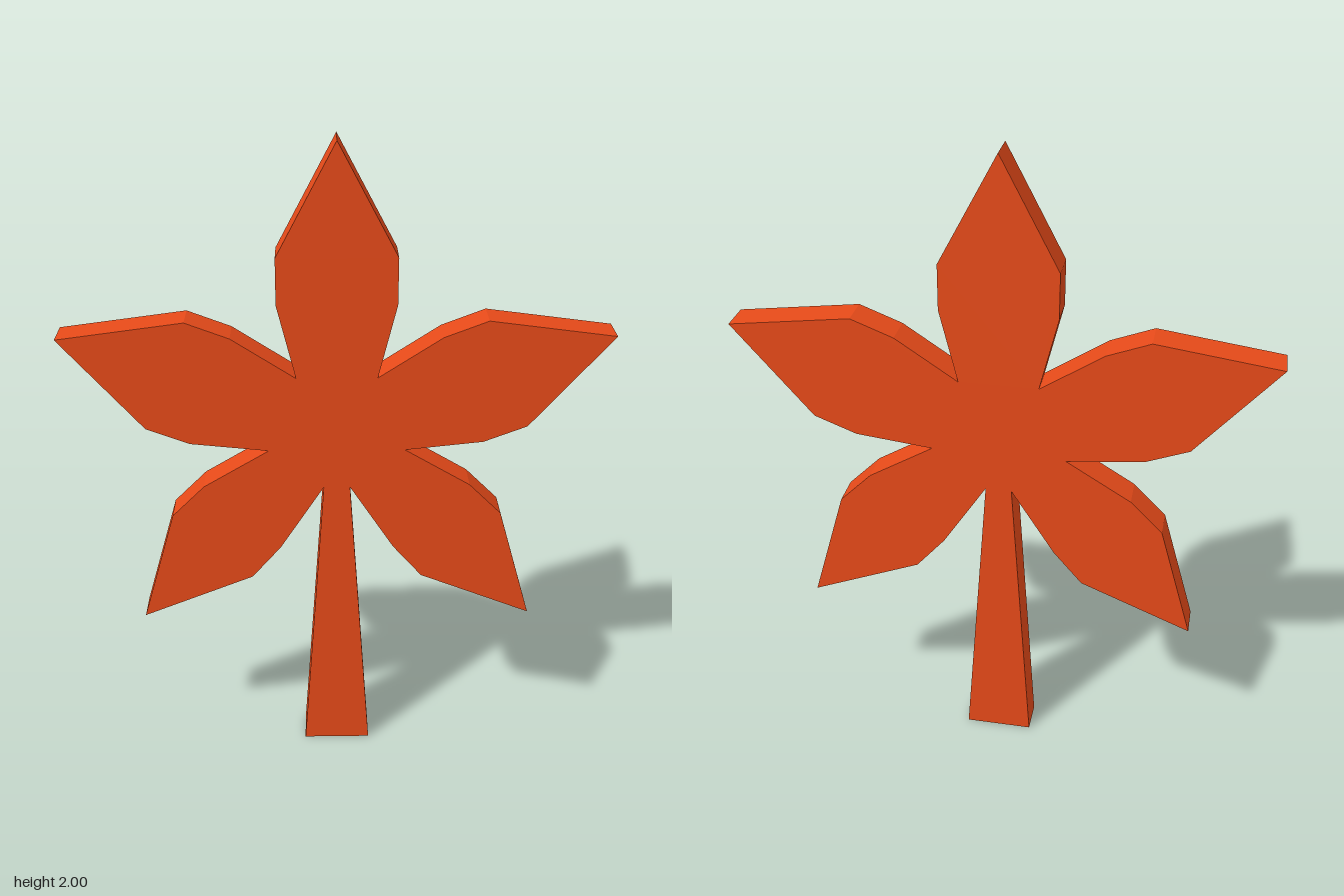
import * as THREE from 'three';

const DEPTH = 0.105;

// Half outline on the +x side, from the top tip down to the stem foot
const HALF = [
  [0.175, 1.67], [0.175, 1.53], [0.12, 1.305],               // top lobe
  [0.31, 1.43], [0.44, 1.48], [0.815, 1.43],                 // side lobe, upper edge
  [0.57, 1.145], [0.44, 1.095], [0.205, 1.07],               // side lobe, lower edge
  [0.405, 0.95], [0.505, 0.85], [0.61, 0.49],                // lower lobe, outer edge
  [0.265, 0.63], [0.175, 0.735], [0.04, 0.945],              // lower lobe, inner edge
  [0.105, 0],                                                // stem
];

export function createModel() {
  const group = new THREE.Group();
  group.name = 'leafOrnament';

  // Mirror the half outline into one closed silhouette
  const right = HALF.map(([x, y]) => new THREE.Vector2(x, y));
  const left = HALF.map(([x, y]) => new THREE.Vector2(-x, y)).reverse();
  const outline = new THREE.Shape([new THREE.Vector2(0, 2), ...right, ...left]);

  // Flat five-lobed leaf with its stem, cut from one slab
  const geometry = new THREE.ExtrudeGeometry(outline, { depth: DEPTH, bevelEnabled: false });
  geometry.translate(0, 0, -DEPTH / 2);
  const leaf = new THREE.Mesh(geometry, new THREE.MeshStandardMaterial({ color: 0xe64a19 }));
  leaf.name = 'leafWithStem';
  group.add(leaf);

  return group;
}
